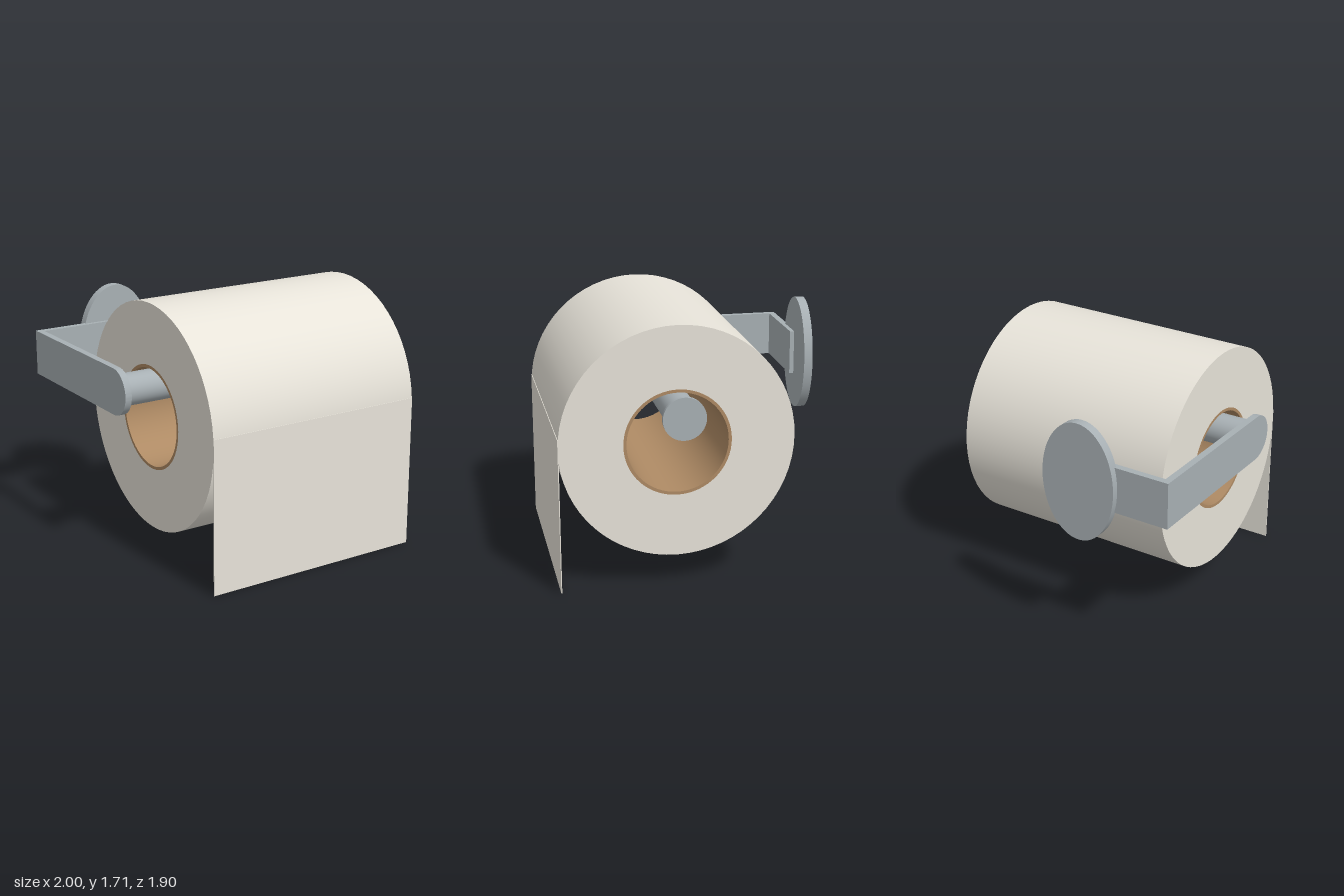
import * as THREE from 'three';
import { toCreasedNormals } from 'three/addons/utils/BufferGeometryUtils.js';

const paper = new THREE.MeshStandardMaterial({ name: 'paper', color: 0xe8e4da });
const card = new THREE.MeshStandardMaterial({ name: 'cardboard', color: 0xae8a64 });
const metal = new THREE.MeshStandardMaterial({ name: 'metal', color: 0xa8b0b4 });

const ROLL_Y = 0.957, ROLL_Z = 0.195, ROLL_R = 0.753;
const ROLL_X0 = -0.74, ROLL_X1 = 0.797;
const ROD_Y = 1.172, ROD_Z = 0.193;

export function createModel() {
  const group = new THREE.Group();

  const add = (name, geometry, material, x, y, z) => {
    const mesh = new THREE.Mesh(geometry, material);
    mesh.name = name;
    mesh.position.set(x, y, z);
    group.add(mesh);
    return mesh;
  };

  // Hollow tube lying along x
  const tube = (inner, outer, length) => {
    const h = length / 2;
    const profile = [[inner, -h], [outer, -h], [outer, h], [inner, h], [inner, -h]]
      .map(([r, y]) => new THREE.Vector2(r, y));
    return toCreasedNormals(new THREE.LatheGeometry(profile, 64), 0.6).rotateZ(-Math.PI / 2);
  };

  // Solid rod lying along x
  const rod = (name, radius, x0, x1) => add(name,
    new THREE.CylinderGeometry(radius, radius, x1 - x0, 48).rotateZ(-Math.PI / 2),
    metal, (x0 + x1) / 2, ROD_Y, ROD_Z);

  // Paper roll, cardboard core and hanging sheet
  const rollX = (ROLL_X0 + ROLL_X1) / 2, rollW = ROLL_X1 - ROLL_X0;
  add('paperRoll', tube(0.345, ROLL_R, rollW), paper, rollX, ROLL_Y, ROLL_Z);
  add('cardboardCore', tube(0.325, 0.345, rollW), card, rollX, ROLL_Y, ROLL_Z);
  add('hangingSheet', new THREE.BoxGeometry(rollW, 1.02, 0.006), paper,
    rollX, 0.51, ROLL_Z + ROLL_R - 0.002);

  // Spindle through the core, with an end cap
  rod('spindle', 0.105, -0.96, 0.98);
  rod('spindleCap', 0.137, 0.976, 1);

  // Side arm with a rounded front end, drawn in the z-y plane
  const armR = 0.153, armBack = -0.905;
  const outline = new THREE.Shape();
  outline.moveTo(armBack, -armR);
  outline.lineTo(ROD_Z, -armR);
  outline.absarc(ROD_Z, 0, armR, -Math.PI / 2, Math.PI / 2, false);
  outline.lineTo(armBack, armR);
  outline.closePath();
  const arm = new THREE.ExtrudeGeometry(outline,
    { depth: 0.045, bevelEnabled: false, curveSegments: 24 });
  add('sideArm', toCreasedNormals(arm, 0.6).rotateY(-Math.PI / 2), metal, -0.955, ROD_Y, 0);

  // Back bracket running from the arm to the wall plate
  add('backBracket', new THREE.BoxGeometry(0.565, 2 * armR, 0.045), metal,
    -0.6725, ROD_Y, armBack + 0.0225);

  // Oval wall plate
  const plate = new THREE.CylinderGeometry(1, 1, 0.06, 64)
    .rotateX(Math.PI / 2).scale(0.26, 0.397, 1);
  add('wallPlate', plate, metal, -0.385, 1.175, -0.92);

  return group;
}
